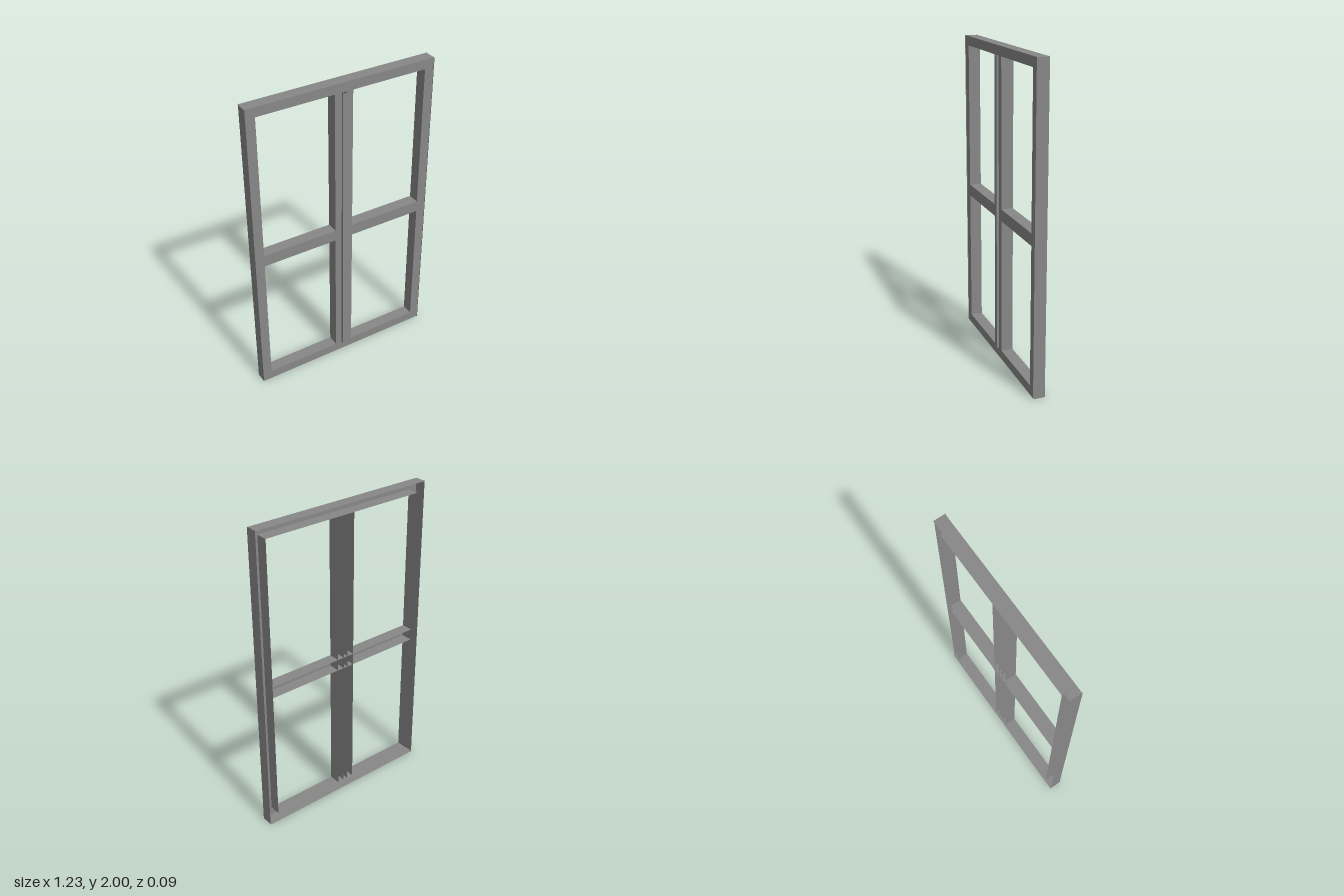
import * as THREE from 'three';

// Window frame of thin folded channels, open at the back
const W = 0.613, H = 2, BACK = -0.045, FACE = 0.031, BEAD = 0.045;
const PANE_IN = 0.06, PANE_OUT = 0.552, LOW = 0.06, HIGH = 1.94;
const RAIL_LOW = 0.935, RAIL_HIGH = 1.01, BEAD_X = 0.015;
const SIDE_BACK = -0.04, SIDE_FRONT = 0.035;

export function createModel() {
  const group = new THREE.Group();
  const material = new THREE.MeshStandardMaterial({
    color: 0x888888, flatShading: true, side: THREE.DoubleSide,
  });

  const add = (name, geometry) => {
    const mesh = new THREE.Mesh(geometry, material);
    mesh.name = name;
    group.add(mesh);
    return mesh;
  };
  // Vertical sheet facing sideways (outward to the given side)
  const upright = (name, x, y0, y1, z0, z1, facing) => {
    const mesh = add(name, new THREE.PlaneGeometry(z1 - z0, y1 - y0));
    mesh.rotation.y = facing * Math.PI / 2;
    mesh.position.set(x, (y0 + y1) / 2, (z0 + z1) / 2);
  };
  // Horizontal sheet facing up (1) or down (-1)
  const level = (name, y, halfWidth, facing) => {
    const mesh = add(name, new THREE.PlaneGeometry(halfWidth * 2, FACE - BACK));
    mesh.rotation.x = -facing * Math.PI / 2;
    mesh.position.set(0, y, (FACE + BACK) / 2);
  };
  const rectangle = (Type, x0, y0, x1, y1) => {
    const path = new Type();
    path.moveTo(x0, y0).lineTo(x1, y0).lineTo(x1, y1).lineTo(x0, y1).closePath();
    return path;
  };

  // Front face with four panes and a slot behind the centre bead
  const face = rectangle(THREE.Shape, -W, 0, W, H);
  for (const [y0, y1] of [[LOW, RAIL_LOW], [RAIL_HIGH, HIGH]]) {
    face.holes.push(rectangle(THREE.Path, PANE_IN, y0, PANE_OUT, y1));
    face.holes.push(rectangle(THREE.Path, -PANE_OUT, y0, -PANE_IN, y1));
  }
  face.holes.push(rectangle(THREE.Path, -BEAD_X, LOW, BEAD_X, HIGH));
  add('frontFace', new THREE.ShapeGeometry(face).translate(0, 0, FACE));

  // Centre bead, standing forward of the face
  add('centreBead', new THREE.PlaneGeometry(BEAD_X * 2, HIGH - LOW))
    .position.set(0, (LOW + HIGH) / 2, BEAD);

  // Upright walls, mirrored
  for (const s of [-1, 1]) {
    upright('outerSideWall', s * W, 0, H, SIDE_BACK, SIDE_FRONT, s);
    upright('innerSideWall', s * PANE_OUT, LOW, HIGH, BACK, FACE, -s);
    upright('mullionWall', s * PANE_IN, LOW, HIGH, BACK, FACE, s);
    upright('beadWall', s * BEAD_X, LOW, HIGH, BACK, BEAD, s);
  }

  // Level walls of the head, sill and middle rail
  level('headTop', H, W, 1);
  level('headUnderside', HIGH, PANE_OUT, -1);
  level('railTop', RAIL_HIGH, PANE_OUT, 1);
  level('railUnderside', RAIL_LOW, PANE_OUT, -1);
  level('sillTop', LOW, PANE_OUT, 1);
  level('sillUnderside', 0, W, -1);

  return group;
}
